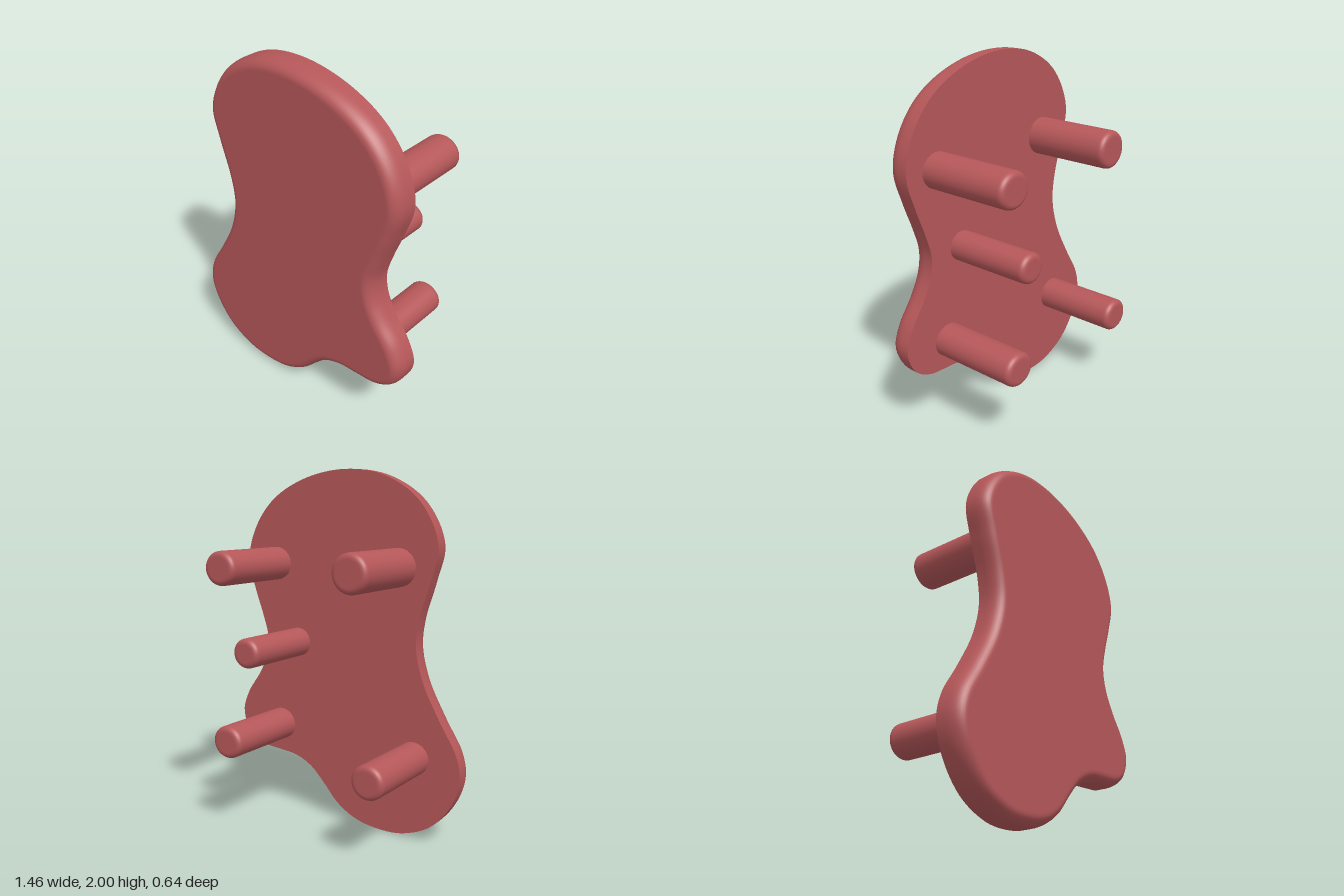
import * as THREE from 'three';
import { mergeGeometries } from 'three/addons/utils/BufferGeometryUtils.js';

const BACK = 0.185, FRONT = 0.32;

// Outline of the hold, counter-clockwise from the bottom
const OUTLINE = [
  [-0.27, 0.005], [-0.1, 0.03], [0.03, 0.1], [0.13, 0.205], [0.22, 0.29], [0.33, 0.34],
  [0.46, 0.355], [0.58, 0.37], [0.68, 0.43], [0.73, 0.555], [0.69, 0.68], [0.6, 0.81],
  [0.545, 0.92], [0.53, 1.03], [0.565, 1.16], [0.62, 1.31], [0.668, 1.49], [0.62, 1.67],
  [0.49, 1.835], [0.275, 1.95], [0, 2], [-0.25, 1.965], [-0.465, 1.83], [-0.575, 1.61],
  [-0.535, 1.42], [-0.475, 1.22], [-0.46, 1.07], [-0.505, 0.89], [-0.61, 0.69],
  [-0.71, 0.52], [-0.735, 0.39], [-0.69, 0.24], [-0.57, 0.095], [-0.41, 0.02],
];

function plateGeometry() {
  const n = 200;
  const curve = new THREE.CatmullRomCurve3(
    OUTLINE.map(([x, y]) => new THREE.Vector3(x, y, 0)), true, 'centripetal');
  const pts = curve.getSpacedPoints(n).slice(0, n);
  const inset = (d) => pts.map((p, i) => {
    const a = pts[(i + n - 1) % n], b = pts[(i + 1) % n];
    const t = new THREE.Vector2(b.x - a.x, b.y - a.y).normalize();
    return new THREE.Vector2(p.x - t.y * d, p.y + t.x * d);
  });

  // Wall rings: straight at the back, rounding over to the front face
  const rings = [[0, BACK]];
  for (let k = 0; k <= 8; k++) {
    const a = (k / 8) * Math.PI / 2;
    rings.push([0.055 * (1 - Math.cos(a)), FRONT - 0.085 * (1 - Math.sin(a))]);
  }
  rings.push([0.065, FRONT]);

  const pos = [], index = [];
  rings.forEach(([d, z], r) => {
    inset(d).forEach((p) => pos.push(p.x, p.y, z));
    if (r === 0) return;
    for (let i = 0; i < n; i++) {
      const j = (i + 1) % n, lo = (r - 1) * n, hi = r * n;
      index.push(lo + i, lo + j, hi + j, lo + i, hi + j, hi + i);
    }
  });
  const wall = new THREE.BufferGeometry();
  wall.setAttribute('position', new THREE.Float32BufferAttribute(pos, 3));
  wall.setIndex(index);
  wall.computeVertexNormals();

  // Flat faces
  const front = new THREE.ShapeGeometry(new THREE.Shape(inset(0.065))).translate(0, 0, FRONT);
  const back = new THREE.ShapeGeometry(new THREE.Shape(inset(0))).rotateY(Math.PI);
  back.scale(1, 1, 1);
  // Turned to face backwards, so mirror the outline beforehand
  const mirrored = inset(0).map((p) => new THREE.Vector2(-p.x, p.y)).reverse();
  const rear = new THREE.ShapeGeometry(new THREE.Shape(mirrored)).rotateY(Math.PI).translate(0, 0, BACK);
  [front, rear].forEach((g) => g.deleteAttribute('uv'));
  return mergeGeometries([wall, front, rear]);
}

// Round peg with a softened tip, pointing backwards
function pegGeometry(r, tipZ) {
  const length = BACK + 0.02 - tipZ, f = 0.03;
  const profile = [new THREE.Vector2(r, 0), new THREE.Vector2(r, length - f - 0.005)];
  for (let k = 0; k <= 6; k++) {
    const a = (k / 6) * Math.PI / 2;
    profile.push(new THREE.Vector2(r - f + f * Math.cos(a), length - f + f * Math.sin(a)));
  }
  profile.push(new THREE.Vector2(r - f - 0.005, length), new THREE.Vector2(0, length));
  return new THREE.LatheGeometry(profile, 40).rotateX(-Math.PI / 2);
}

export function createModel() {
  const group = new THREE.Group();
  group.name = 'pegBoard';
  const red = new THREE.MeshStandardMaterial({ color: 0xb55759 });
  red.name = 'dusty red';

  const plate = new THREE.Mesh(plateGeometry(), red);
  plate.name = 'plate';
  group.add(plate);

  // name, x, y, radius, height / width, tip z
  const pegs = [
    ['upperLeftPeg', 0.462, 1.478, 0.102, 0.92, -0.322],
    ['upperRightPeg', -0.345, 1.488, 0.105, 0.98, -0.304],
    ['middlePeg', 0.31, 1.03, 0.085, 0.96, -0.3],
    ['lowerLeftPeg', 0.435, 0.522, 0.098, 0.93, -0.323],
    ['lowerRightPeg', -0.455, 0.463, 0.095, 0.97, -0.302],
  ];
  for (const [name, x, y, r, squash, tip] of pegs) {
    const peg = new THREE.Mesh(pegGeometry(r, tip), red);
    peg.name = name;
    peg.position.set(x, y, BACK + 0.02);
    peg.scale.y = squash;
    group.add(peg);
  }
  return group;
}
